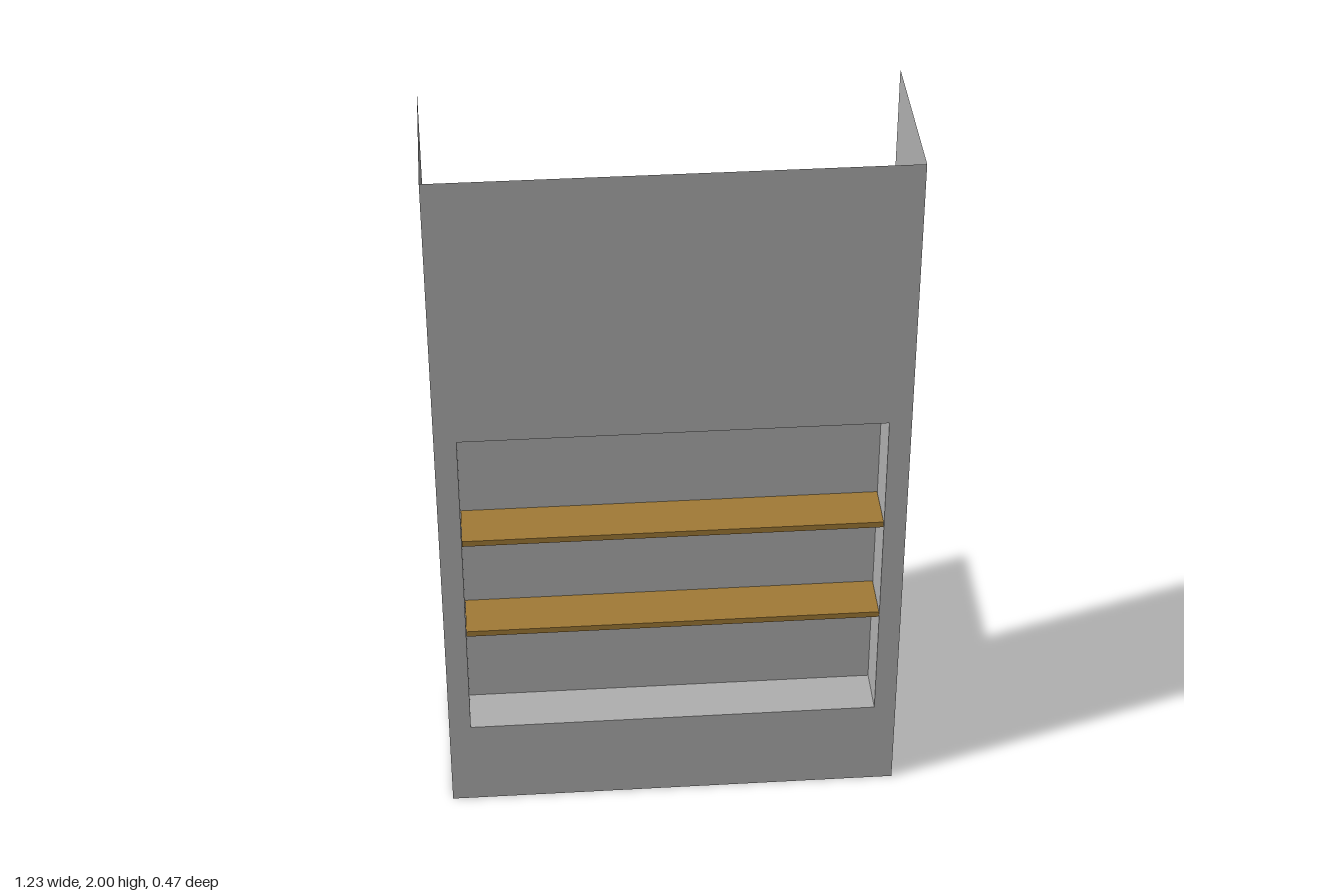
import * as THREE from 'three';

const W = 0.617, H = 2, D = 0.236;                            // half width, height, half depth
const NX = 0.558, NY0 = 0.26, NY1 = 1.228, NZ = 0.1;          // niche half width, bottom, top, back

export function createModel() {
  const group = new THREE.Group();
  const grey = new THREE.MeshStandardMaterial({ color: 0xb0b0b0, side: THREE.DoubleSide });
  grey.name = 'grey panel';
  const wood = new THREE.MeshStandardMaterial({ color: 0xa27b36 });
  wood.name = 'shelf wood';

  const add = (name, geometry, material, x, y, z, rx = 0, ry = 0) => {
    const mesh = new THREE.Mesh(geometry, material);
    mesh.name = name;
    mesh.position.set(x, y, z);
    mesh.rotation.set(rx, ry, 0);
    group.add(mesh);
  };

  // Front sheet with a rectangular opening
  const front = new THREE.Shape([[-W, 0], [W, 0], [W, H], [-W, H]].map(p => new THREE.Vector2(...p)));
  front.holes.push(new THREE.Path([[-NX, NY0], [-NX, NY1], [NX, NY1], [NX, NY0]].map(p => new THREE.Vector2(...p))));
  add('frontPanel', new THREE.ShapeGeometry(front), grey, 0, 0, D);

  // Outer sides and niche sides
  const nh = NY1 - NY0, nd = D - NZ, ny = (NY0 + NY1) / 2, nz = (D + NZ) / 2;
  for (const [side, s] of [['left', 1], ['right', -1]]) {
    add(side + 'SidePanel', new THREE.PlaneGeometry(2 * D, H), grey, s * W, H / 2, 0, 0, s * Math.PI / 2);
    add(side + 'NicheWall', new THREE.PlaneGeometry(nd, nh), grey, s * NX, ny, nz, 0, -s * Math.PI / 2);
  }

  // Niche back, floor and ceiling
  add('nicheBack', new THREE.PlaneGeometry(2 * NX, nh), grey, 0, ny, NZ);
  add('nicheFloor', new THREE.PlaneGeometry(2 * NX, nd), grey, 0, NY0, nz, -Math.PI / 2);
  add('nicheCeiling', new THREE.PlaneGeometry(2 * NX, nd), grey, 0, NY1, nz, Math.PI / 2);

  // Shelves, just clear of the niche walls
  for (const [name, y] of [['lowerShelf', 0.591], ['upperShelf', 0.897]]) {
    add(name, new THREE.BoxGeometry(2 * NX - 0.002, 0.017, nd - 0.002), wood, 0, y, nz);
  }
  return group;
}
